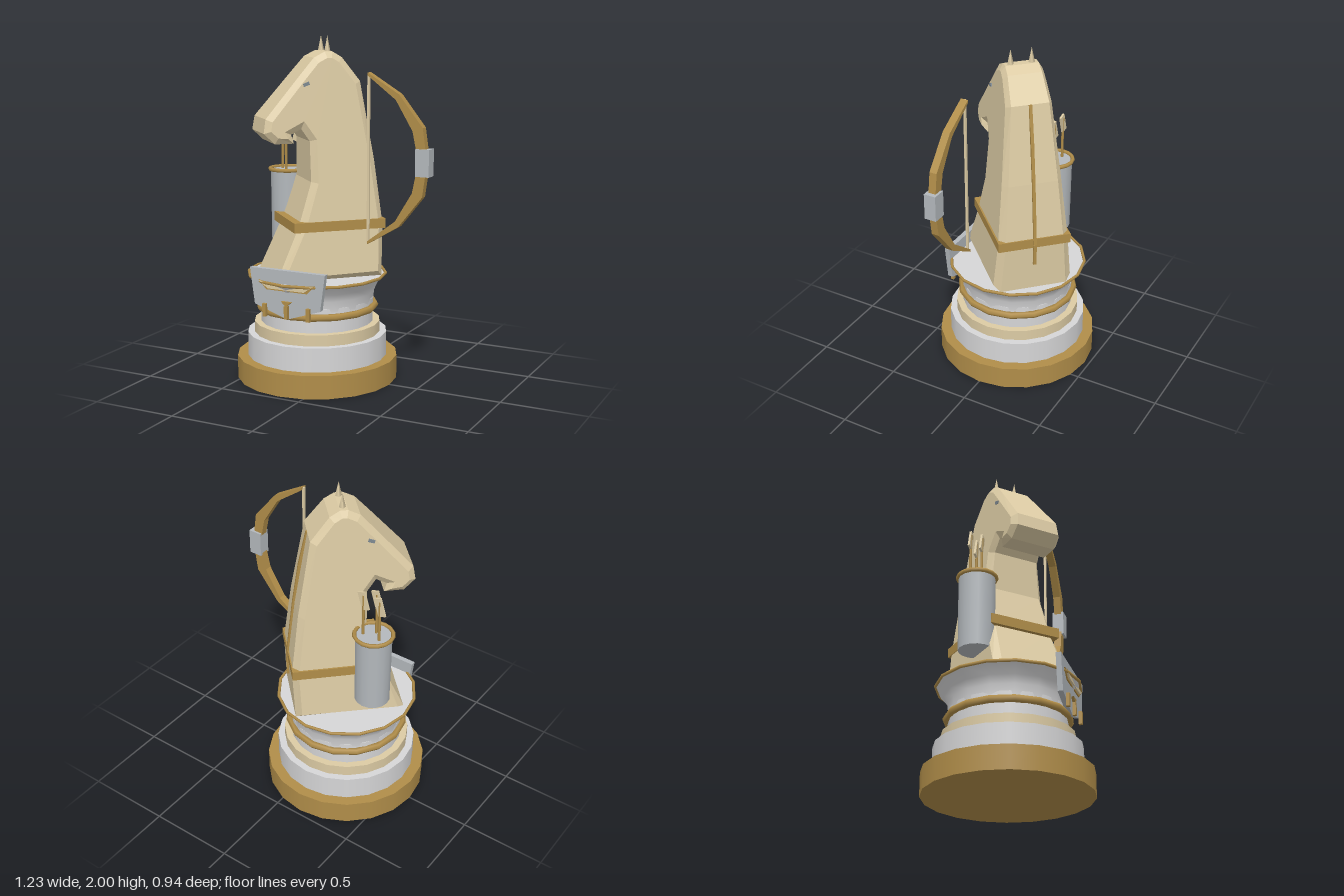
import * as THREE from 'three';

const mat = (name, color, extra = {}) => new THREE.MeshStandardMaterial({ name, color, ...extra });

export function createModel() {
  const ivory = mat('ivory', 0xdccba4);
  const gold = mat('gold', 0xb08d49);
  const white = mat('white', 0xd6d6d7);
  const silver = mat('silver', 0xb3b8bc);
  const slate = mat('slate', 0x7f8a92);

  const root = new THREE.Group();
  const CX = -0.145; // axis of the pedestal

  const add = (parent, name, geometry, material, x = 0, y = 0, z = 0) => {
    const mesh = new THREE.Mesh(geometry, material);
    mesh.name = name;
    mesh.position.set(x, y, z);
    parent.add(mesh);
    return mesh;
  };
  const group = (name, x = 0, y = 0, z = 0) => {
    const g = new THREE.Group();
    g.name = name;
    g.position.set(x, y, z);
    root.add(g);
    return g;
  };
  const polygon = (pts) => new THREE.Shape(pts.map(([x, y]) => new THREE.Vector2(x, y)));
  const plate = (pts, depth) =>
    new THREE.ExtrudeGeometry(polygon(pts), { depth, bevelEnabled: false }).translate(0, 0, -depth / 2);
  const ring = (parent, name, r, tube, x, y, z, sides) =>
    add(parent, name, new THREE.TorusGeometry(r, tube, 6, sides).rotateX(Math.PI / 2), gold, x, y, z);

  // Pedestal: stacked discs, waist and flared cup
  const pedestal = group('pedestal', CX);
  const tiers = [
    ['baseDisc', 0.472, 0, 0.135, gold],
    ['lowerDisc', 0.41, 0.135, 0.275, white],
    ['middleDisc', 0.37, 0.275, 0.34, ivory],
    ['waist', 0.33, 0.34, 0.48, white],
  ];
  for (const [name, r, y0, y1, m] of tiers) {
    add(pedestal, name, new THREE.CylinderGeometry(r, r, y1 - y0, 20), m, 0, (y0 + y1) / 2);
  }
  const cupProfile = [[0.33, 0.46], [0.335, 0.52], [0.355, 0.565], [0.403, 0.622]];
  add(pedestal, 'flaredCup', new THREE.LatheGeometry(cupProfile.map(([r, y]) => new THREE.Vector2(r, y)), 16), white);
  add(pedestal, 'cupTop', new THREE.CircleGeometry(0.403, 16).rotateX(-Math.PI / 2), white, 0, 0.622);
  ring(pedestal, 'waistRing', 0.34, 0.021, 0, 0.432, 0, 16);
  ring(pedestal, 'rimRing', 0.403, 0.009, 0, 0.622, 0, 16);

  // Horse: local x runs forward, z runs across
  const horse = group('horse', CX);
  horse.rotation.y = -Math.PI * 0.75;
  const halfWidth = (y) => 0.235 - 0.094 * (y - 0.62);

  const profile = [
    [-0.33, 0.62], [0.3, 0.62], [0.16, 0.93], [0.08, 1.18], [0.082, 1.41], [0.13, 1.48],
    [0.19, 1.45], [0.175, 1.4], [0.285, 1.4], [0.348, 1.46], [0.335, 1.54], [0.12, 1.79],
    [0.045, 1.875], [-0.02, 1.908], [-0.065, 1.908], [-0.12, 1.875], [-0.225, 1.74],
    [-0.3, 1.29], [-0.343, 0.92],
  ];
  const bevel = 0.035;
  const body = new THREE.ExtrudeGeometry(polygon(profile), {
    depth: 2 - 2 * 0.17, bevelEnabled: true, bevelSegments: 1,
    bevelSize: bevel, bevelOffset: -bevel, bevelThickness: 0.17,
  }).translate(0, 0, -0.83);
  // Narrow the neck and head towards the top
  const p = body.attributes.position;
  for (let i = 0; i < p.count; i++) p.setZ(i, p.getZ(i) * halfWidth(p.getY(i)));
  body.computeVertexNormals();
  add(horse, 'headAndNeck', body, ivory);

  for (const s of [-1, 1]) {
    add(horse, 'ear', new THREE.ConeGeometry(0.02, 0.095, 4), ivory, -0.046, 1.948, s * 0.06);
    const eye = add(horse, 'eye', new THREE.BoxGeometry(0.036, 0.018, 0.012), slate, 0.1, 1.73, s * halfWidth(1.73));
    eye.rotation.z = -0.35;
  }

  // Strap around the neck and seam down the back
  add(horse, 'neckStrap', new THREE.BoxGeometry(0.543, 0.056, 0.425), gold, -0.074, 0.93, 0);
  const seam = [[-0.223, 1.74], [-0.268, 1.53], [-0.303, 1.29], [-0.345, 0.92], [-0.342, 0.79]];
  for (let i = 0; i < seam.length - 1; i++) {
    const [a, b] = [seam[i], seam[i + 1]];
    const [dx, dy] = [b[0] - a[0], b[1] - a[1]];
    const part = add(horse, 'backSeam', new THREE.BoxGeometry(0.018, Math.hypot(dx, dy), 0.018), gold,
      (a[0] + b[0]) / 2, (a[1] + b[1]) / 2, 0);
    part.rotation.z = Math.atan2(dx, -dy);
  }

  // Quiver with three arrows
  const quiver = group('quiver', -0.395, 0, -0.108);
  add(quiver, 'quiverTube', new THREE.CylinderGeometry(0.104, 0.1, 0.44, 16), silver, 0, 0.98, 0);
  ring(quiver, 'quiverRim', 0.108, 0.012, 0, 1.203, 0, 16);
  for (const [x, z] of [[-0.05, -0.024], [0.055, -0.024], [0, 0.025]]) {
    add(quiver, 'arrowShaft', new THREE.CylinderGeometry(0.008, 0.008, 0.27, 8), gold, x, 1.32, z);
    const fletching = add(quiver, 'arrowFletching', new THREE.BoxGeometry(0.045, 0.11, 0.012), ivory, x, 1.42, z);
    fletching.rotation.z = -0.3;
  }

  // Bow: mirrored crescent limb, grip and string
  const bow = group('bow', 0, 1.327, 0.115);
  const outer = [[0.243, 0.478], [0.432, 0.365], [0.572, 0.19], [0.6, 0]];
  const inner = [[0.548, 0], [0.512, 0.17], [0.412, 0.335], [0.243, 0.462]];
  const flip = (pts) => pts.map(([x, y]) => [x, -y]).reverse();
  const limb = [...outer, ...flip(outer).slice(1), ...flip(inner), ...inner.slice(1)];
  add(bow, 'bowLimbs', plate(limb, 0.044), gold);
  add(bow, 'bowGrip', new THREE.BoxGeometry(0.08, 0.15, 0.07), silver, 0.575, 0, 0);
  add(bow, 'bowString', new THREE.BoxGeometry(0.013, 0.95, 0.013), ivory, 0.24, 0, 0);

  // Front plaque with raised ornaments
  const plaque = group('plaque', CX, 0, 0.348);
  add(plaque, 'plaquePanel',
    plate([[-0.24, 0.7], [-0.21, 0.49], [0, 0.42], [0.21, 0.49], [0.24, 0.7]], 0.03), silver);
  add(plaque, 'ornamentBacking',
    plate([[-0.18, 0.635], [-0.13, 0.583], [0.13, 0.583], [0.18, 0.635], [0.12, 0.615], [-0.12, 0.615]], 0.008),
    gold, 0, 0, 0.018);
  add(plaque, 'ornamentCrescent',
    plate([[-0.17, 0.63], [-0.115, 0.592], [0.115, 0.592], [0.17, 0.63], [0.12, 0.621], [-0.12, 0.621]], 0.016),
    ivory, 0, 0, 0.024);
  for (const x of [-0.14, 0, 0.14]) {
    add(plaque, 'ornamentPeg', new THREE.BoxGeometry(0.022, 0.075, 0.02), gold, x, 0.463, 0.024);
  }
  add(plaque, 'ornamentPoint', plate([[0, 0.495], [0.032, 0.525], [-0.032, 0.525]], 0.016), gold, 0, 0, 0.022);

  return root;
}
